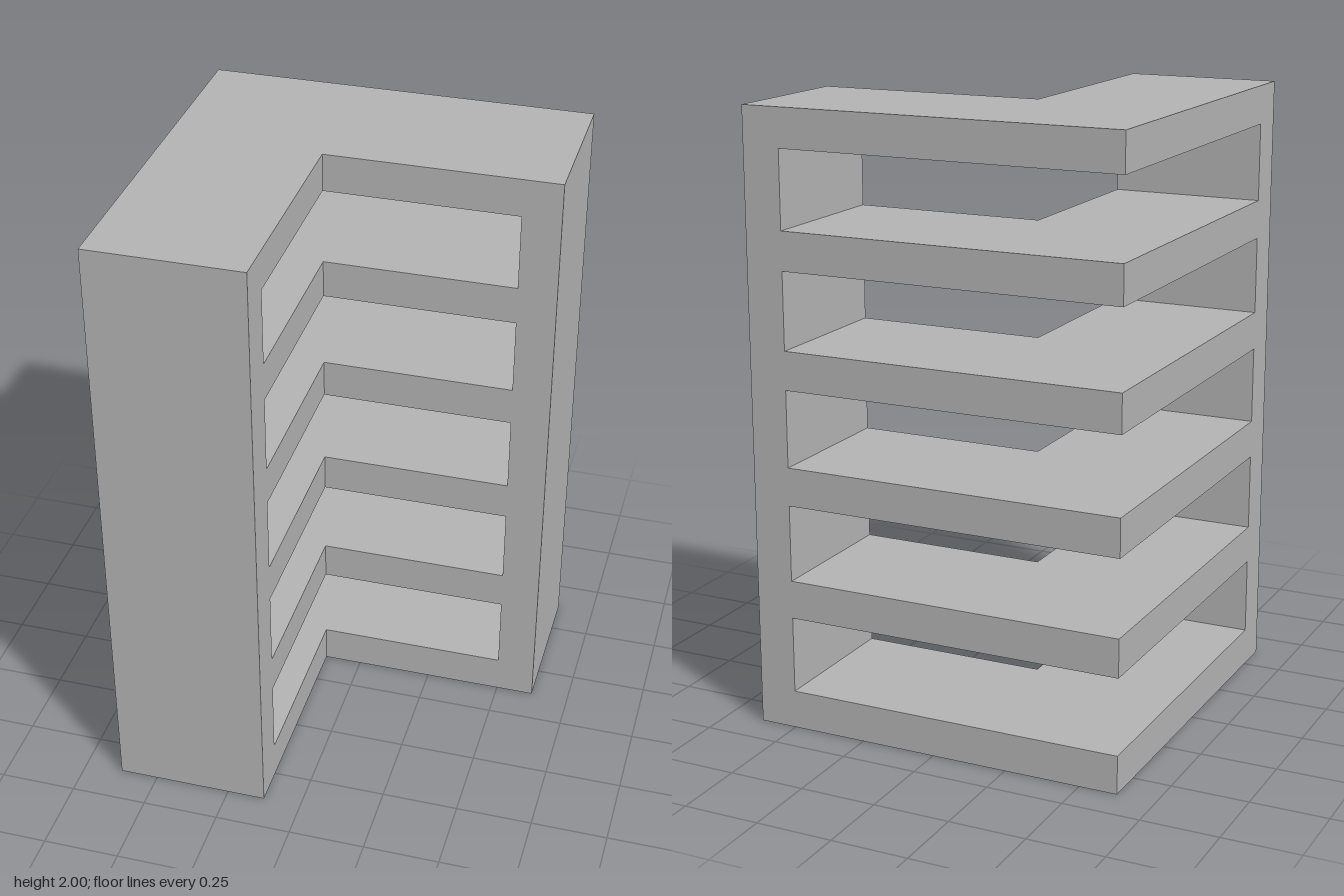
import * as THREE from 'three';

const HALF = 0.625;    // half of the footprint
const BOARD = 0.125;   // board thickness
const DEPTH = 0.5;     // depth of each wing
const GAP = 0.25;      // clear height between shelves
const SHELVES = 6;
const HEIGHT = SHELVES * BOARD + (SHELVES - 1) * GAP;

export function createModel() {
  const group = new THREE.Group();
  group.name = 'cornerShelf';
  const grey = new THREE.MeshStandardMaterial({ color: 0xb2b2b2 });
  grey.name = 'grey';

  const add = (name, geometry, x, y, z) => {
    const mesh = new THREE.Mesh(geometry, grey);
    mesh.name = name;
    mesh.position.set(x, y, z);
    group.add(mesh);
  };

  // L-shaped shelf board, ending where the end panels begin
  const inner = -HALF + DEPTH, end = HALF - BOARD;
  const outline = new THREE.Shape([
    [-HALF, HALF], [-HALF, -end], [inner, -end],
    [inner, -inner], [end, -inner], [end, HALF],
  ].map(([x, y]) => new THREE.Vector2(x, y)));
  const board = new THREE.ExtrudeGeometry(outline, { depth: BOARD, bevelEnabled: false });
  board.rotateX(-Math.PI / 2);
  for (let i = 0; i < SHELVES; i++) {
    add(`shelf${i + 1}`, board, 0, i * (BOARD + GAP), 0);
  }

  // Full-height panels closing the two wing ends; the outer corner stays open
  const across = -HALF + DEPTH / 2, edge = HALF - BOARD / 2;
  add('frontEndPanel', new THREE.BoxGeometry(DEPTH, HEIGHT, BOARD), across, HEIGHT / 2, edge);
  add('leftEndPanel', new THREE.BoxGeometry(BOARD, HEIGHT, DEPTH), edge, HEIGHT / 2, across);

  return group;
}
